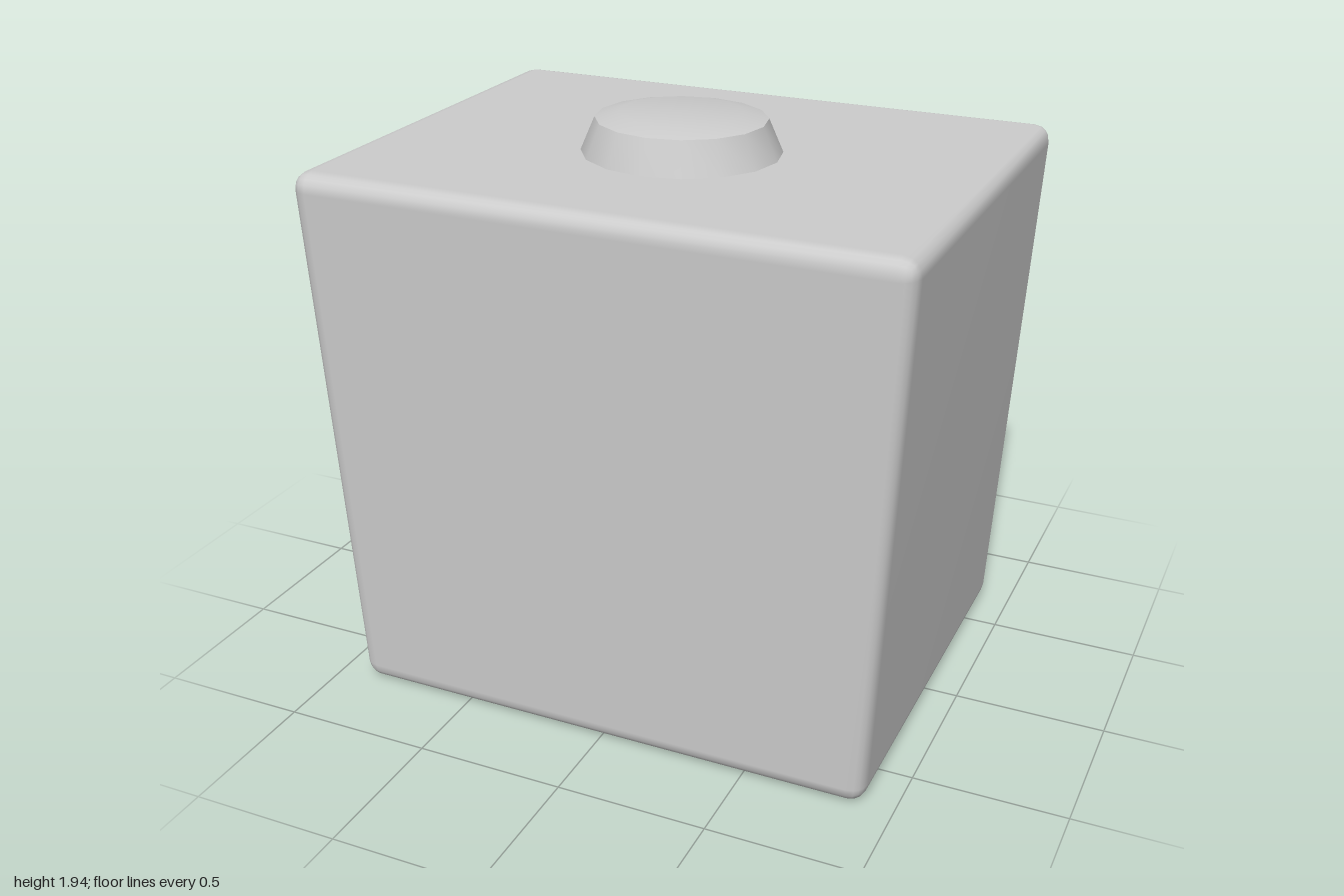
import * as THREE from 'three';
import { mergeVertices, toCreasedNormals } from 'three/addons/utils/BufferGeometryUtils.js';
import { RoundedBoxGeometry } from 'three/addons/geometries/RoundedBoxGeometry.js';

const material = new THREE.MeshStandardMaterial({ color: 0xcccccc });
const HEIGHT = 1.81;

// Bevelled block that narrows linearly towards its base
function taperedBlock() {
  const box = new RoundedBoxGeometry(2, HEIGHT, 1.535, 2, 0.06);
  box.translate(0, HEIGHT / 2, 0);
  const pos = box.attributes.position;
  for (let i = 0; i < pos.count; i++) {
    const t = pos.getY(i) / HEIGHT;
    pos.setX(i, pos.getX(i) * THREE.MathUtils.lerp(0.903, 1.002, t));
    pos.setZ(i, pos.getZ(i) * THREE.MathUtils.lerp(0.94, 1.002, t));
  }
  // Weld the faces so the bevels shade smoothly
  box.deleteAttribute('normal');
  box.deleteAttribute('uv');
  const welded = mergeVertices(box, 1e-4);
  welded.computeVertexNormals();
  return welded;
}

// Slanted 16-sided button with a crisp rim and a softly raised top
function buttonGeometry() {
  const profile = [
    [0.327, HEIGHT - 0.005],
    [0.278, 1.918],
    [0.2, 1.937],
    [0, 1.938],
  ].map(([r, y]) => new THREE.Vector2(r, y));
  const lathe = new THREE.LatheGeometry(profile, 16);
  lathe.scale(1, 1, 0.94);
  lathe.deleteAttribute('uv');
  return toCreasedNormals(lathe, 0.6);
}

export function createModel() {
  const group = new THREE.Group();
  group.name = 'blockWithButton';

  const body = new THREE.Mesh(taperedBlock(), material);
  body.name = 'body';

  const button = new THREE.Mesh(buttonGeometry(), material);
  button.name = 'topButton';
  button.position.z = 0.052;

  group.add(body, button);
  return group;
}
